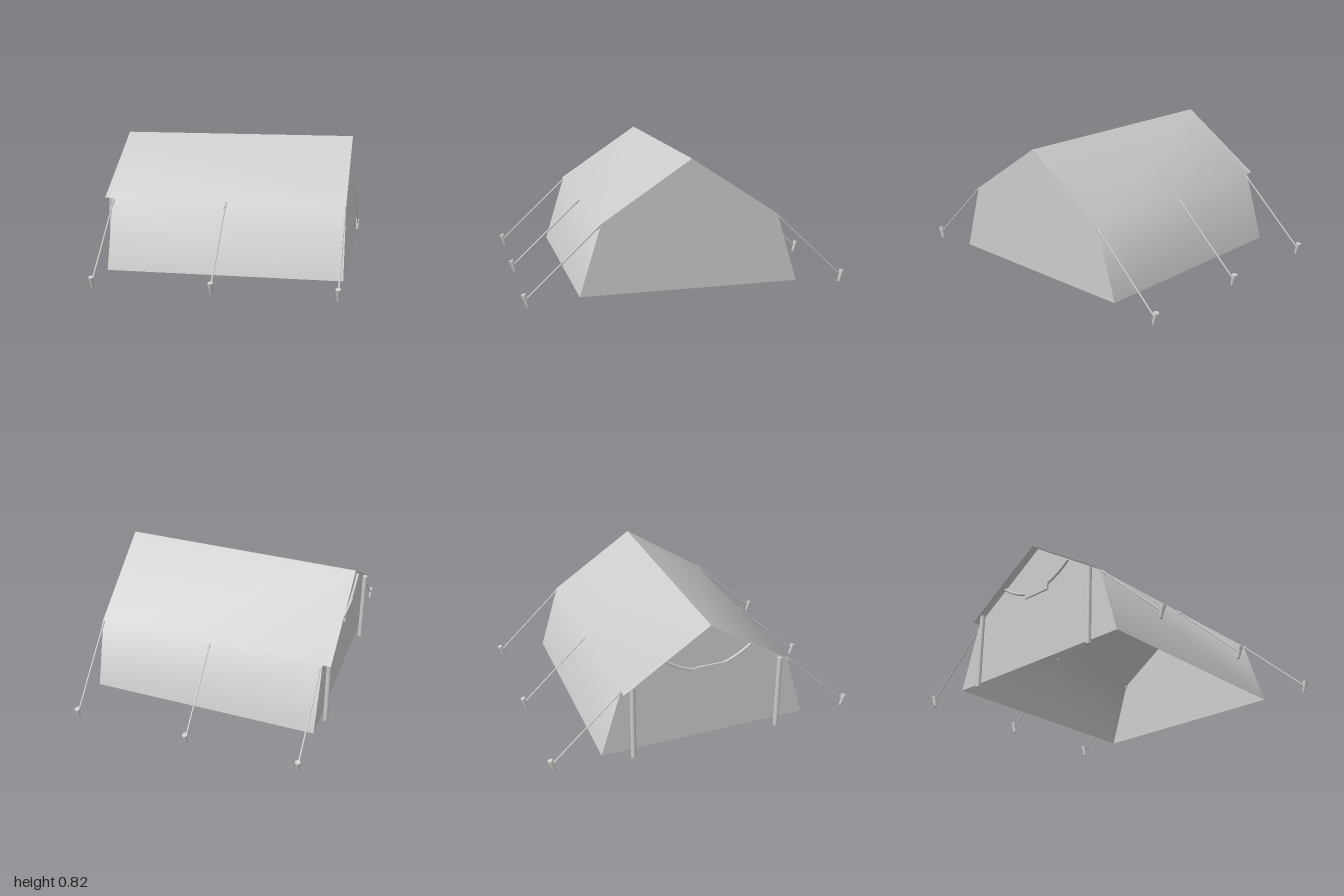
import * as THREE from 'three';

const ZC = -0.005;                       // ridge line
const RIDGE_Y = 0.82;
const EAVE = { y: 0.465, z: 0.537 };
const HEM = { y: 0.04, z: 0.668 };
const X_PORCH = -0.75, X_BACK = -0.7, X_FRONT = 0.737;

const material = new THREE.MeshStandardMaterial({ color: 0xcccccc });
const canvas = new THREE.MeshStandardMaterial({ color: 0xcccccc, side: THREE.DoubleSide });

function add(parent, name, geometry, mat = material) {
  const mesh = new THREE.Mesh(geometry, mat);
  mesh.name = name;
  parent.add(mesh);
  return mesh;
}

// Tapered rod from point a (radius ra) to point b (radius rb)
function rod(parent, name, a, b, ra, rb = ra, sides = 10) {
  const dir = b.clone().sub(a);
  const mesh = add(parent, name, new THREE.CylinderGeometry(rb, ra, dir.length(), sides));
  mesh.position.copy(a).add(b).multiplyScalar(0.5);
  mesh.quaternion.setFromUnitVectors(new THREE.Vector3(0, 1, 0), dir.normalize());
  return mesh;
}

// Roof slope and wall of one side, smooth over the eave, with a porch overhang
function canvasSide(s) {
  const ze = ZC + s * EAVE.z, zh = ZC + s * HEM.z;
  const positions = [
    X_PORCH, RIDGE_Y, ZC, X_BACK, RIDGE_Y, ZC, X_FRONT, RIDGE_Y, ZC,
    X_PORCH, EAVE.y, ze, X_BACK, EAVE.y, ze, X_FRONT, EAVE.y, ze,
    X_BACK, HEM.y, zh, X_FRONT, HEM.y, zh,
  ];
  const index = [];
  for (const [a, b, c, d] of [[0, 1, 3, 4], [1, 2, 4, 5], [4, 5, 6, 7]]) {
    if (s > 0) index.push(a, c, d, a, d, b);
    else index.push(a, d, c, a, b, d);
  }
  const geometry = new THREE.BufferGeometry();
  geometry.setAttribute('position', new THREE.Float32BufferAttribute(positions, 3));
  geometry.setIndex(index);
  geometry.computeVertexNormals();
  return geometry;
}

// Five-sided end wall
function gable() {
  return new THREE.ShapeGeometry(new THREE.Shape([
    new THREE.Vector2(-HEM.z, HEM.y), new THREE.Vector2(HEM.z, HEM.y),
    new THREE.Vector2(EAVE.z, EAVE.y), new THREE.Vector2(0, RIDGE_Y),
    new THREE.Vector2(-EAVE.z, EAVE.y),
  ]));
}

// Guy rope with its toggle and peg
function guyLine(x, s) {
  const group = new THREE.Group();
  group.name = 'guyLine';
  const p = (y, z) => new THREE.Vector3(x, y, s * z);
  const top = p(0.46, 0.535), end = p(0.05, 0.972);
  rod(group, 'rope', end, top, 0.005, 0.005, 8);
  rod(group, 'toggle', top.clone().lerp(end, 0.07), top, 0.007, 0.007, 8);
  rod(group, 'peg', p(0.008, 0.963), p(0.068, 0.979), 0.009, 0.014);
  rod(group, 'pegHead', p(0.066, 0.978), p(0.082, 0.983), 0.016);
  return group;
}

export function createModel() {
  const model = new THREE.Group();
  model.name = 'tent';

  // Canvas shell, open underneath
  for (const s of [1, -1]) add(model, s > 0 ? 'frontCanvas' : 'backCanvas', canvasSide(s), canvas);
  for (const [name, x, turn] of [['leftGable', X_FRONT, 1], ['rightGable', X_BACK, -1]]) {
    const wall = add(model, name, gable().rotateY(turn * Math.PI / 2), canvas);
    wall.position.set(x, 0, ZC);
  }

  // Posts holding the porch
  for (const s of [1, -1]) {
    const z = ZC + s * 0.475;
    rod(model, 'porchPost', new THREE.Vector3(-0.727, 0, z), new THREE.Vector3(-0.727, 0.495, z), 0.016, 0.016, 16);
  }

  // Hanging swag and small plaque under the porch roof
  const swag = new THREE.QuadraticBezierCurve3(
    new THREE.Vector3(-0.712, 0.625, ZC - 0.28),
    new THREE.Vector3(-0.712, 0.4, ZC),
    new THREE.Vector3(-0.712, 0.625, ZC + 0.28),
  );
  add(model, 'swag', new THREE.TubeGeometry(swag, 24, 0.009, 8));
  add(model, 'plaque', new THREE.BoxGeometry(0.012, 0.055, 0.2)).position.set(-0.718, 0.51, ZC + 0.02);

  // Three guy lines on each long side
  for (const x of [-0.69, 0.013, 0.732]) {
    for (const s of [1, -1]) model.add(guyLine(x, s));
  }
  return model;
}
